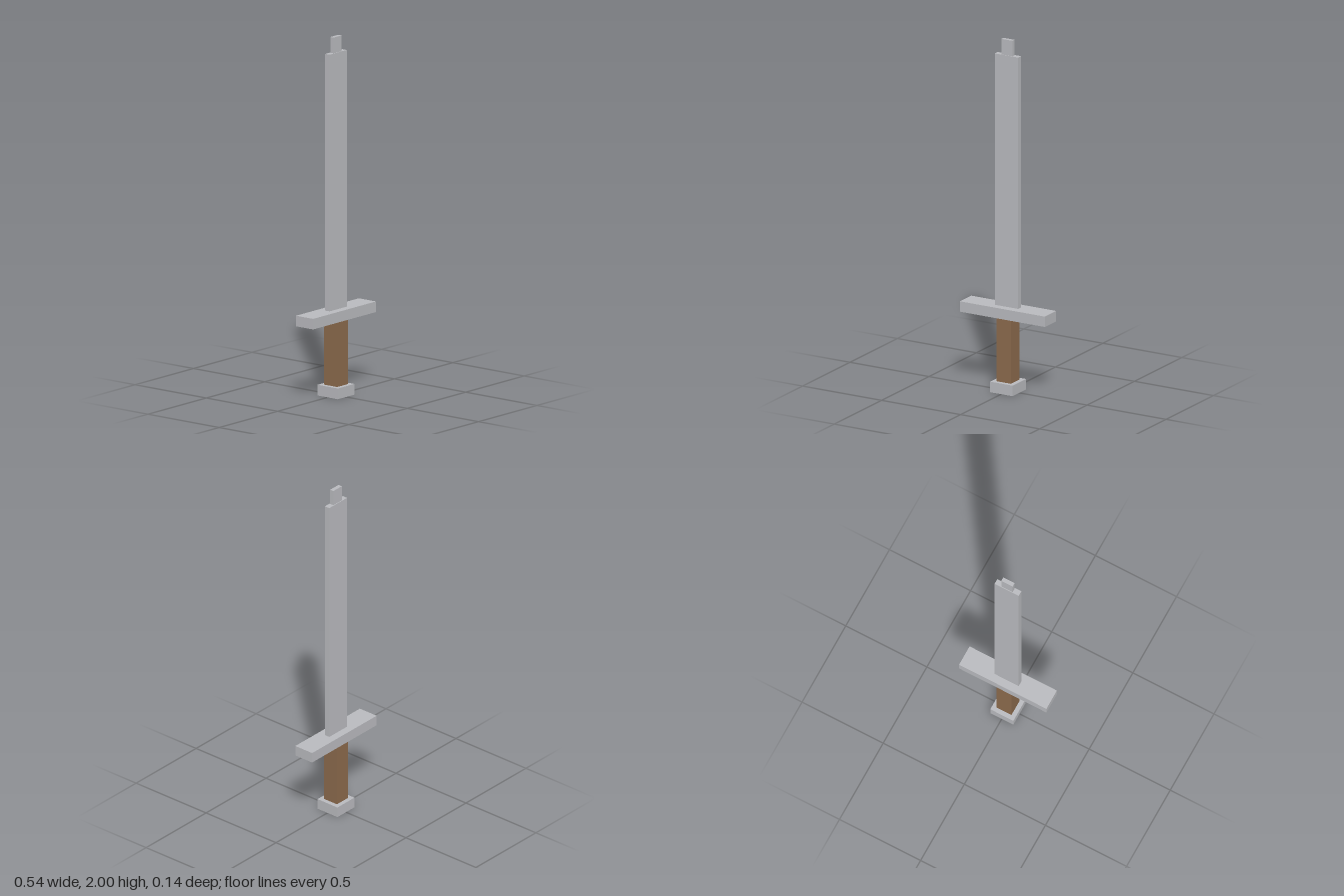
import * as THREE from 'three';

export function createModel() {
  const sword = new THREE.Group();
  sword.name = 'sword';

  const steel = new THREE.MeshStandardMaterial({ name: 'steelGrey', color: 0xb9babe });
  const wood = new THREE.MeshStandardMaterial({ name: 'woodBrown', color: 0x8b6a4c });

  // Adds a centred block spanning y0 to y1
  const block = (name, width, depth, y0, y1, material) => {
    const mesh = new THREE.Mesh(new THREE.BoxGeometry(width, y1 - y0, depth), material);
    mesh.name = name;
    mesh.position.y = (y0 + y1) / 2;
    sword.add(mesh);
  };

  // Hilt
  block('pommel', 0.142, 0.142, 0, 0.06, steel);
  block('grip', 0.092, 0.092, 0.06, 0.423, wood);
  block('crossguard', 0.538, 0.12, 0.423, 0.482, steel);

  // Blade with its narrower, thinner stepped tip
  block('blade', 0.148, 0.031, 0.482, 1.912, steel);
  block('bladeTip', 0.07, 0.023, 1.912, 2, steel);

  return sword;
}
